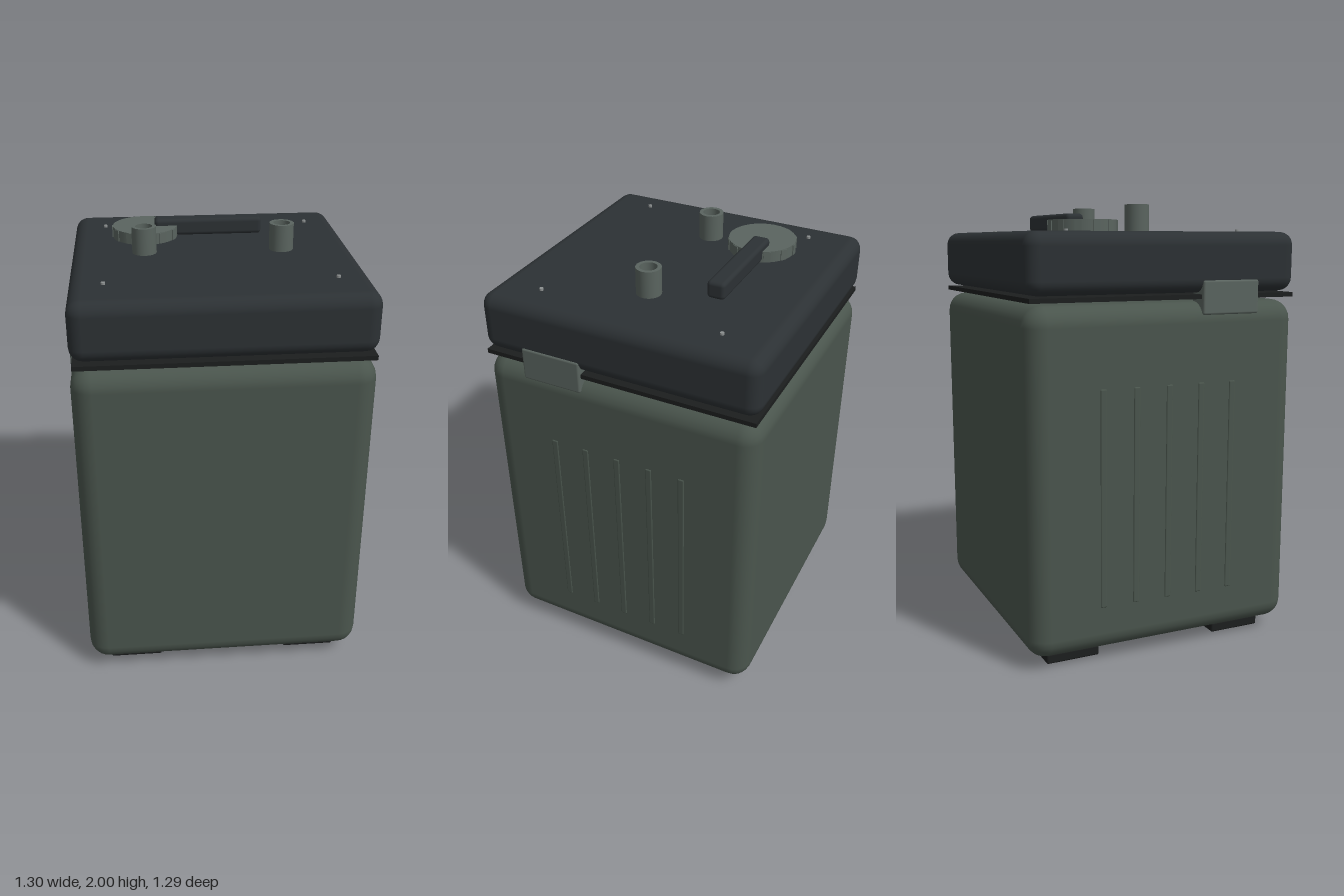
import * as THREE from 'three';
import { RoundedBoxGeometry } from 'three/addons/geometries/RoundedBoxGeometry.js';

const mat = (color, side = THREE.FrontSide) => {
  const m = new THREE.MeshStandardMaterial({ side });
  m.color.set(color);
  return m;
};

export function createModel() {
  const group = new THREE.Group();
  const green = mat(0x4a554d);
  const dark = mat(0x2c3134);
  const black = mat(0x1c1e1e);
  const metal = mat(0x5a645f);
  const steel = mat(0x8c9090);

  const add = (name, geometry, material, x, y, z, parent = group) => {
    const mesh = new THREE.Mesh(geometry, material);
    mesh.name = name;
    mesh.position.set(x, y, z);
    parent.add(mesh);
    return mesh;
  };
  const rounded = (w, h, d, r, seg = 3) => new RoundedBoxGeometry(w, h, d, seg, r);

  // Main case, seal plate and lid
  add('body', rounded(1.29, 1.525, 1.29, 0.09), green, 0, 0.8175, 0);
  add('seal', new THREE.BoxGeometry(1.26, 0.02, 1.26), black, 0, 1.602, 0);
  add('lid', rounded(1.28, 0.262, 1.28, 0.06), dark, 0, 1.749, 0);

  const ribGeo = rounded(0.03, 0.965, 0.03, 0.006, 2);
  const claspGeo = rounded(0.1, 0.15, 0.28, 0.01, 2);
  const footGeo = rounded(0.245, 0.045, 0.25, 0.008, 2);
  const screwGeo = new THREE.CylinderGeometry(0.009, 0.009, 0.012, 12);

  // Hollow socket wall, open through the middle
  const socketGeo = new THREE.LatheGeometry(
    [[0.038, 0], [0.055, 0], [0.055, 0], [0.055, 0.122], [0.055, 0.122],
      [0.038, 0.122], [0.038, 0.122], [0.038, 0]].map(([r, y]) => new THREE.Vector2(r, y)), 24);

  for (const s of [-1, 1]) {
    // Side ribs, clasp and top socket
    for (let i = -2; i <= 2; i++) add('sideRib', ribGeo, green, s * 0.634, 0.7475, i * 0.156);
    add('clasp', claspGeo, metal, s * 0.595, 1.598, 0.3);
    add('socket', socketGeo, metal, s * 0.31, 1.878, 0);
    add('socketFloor', new THREE.CylinderGeometry(0.039, 0.039, 0.06, 24), black, s * 0.31, 1.91, 0);

    // Feet and lid screws at the corners
    for (const t of [-1, 1]) {
      add('foot', footGeo, black, s * 0.425, 0.0225, t * 0.418);
      add('screw', screwGeo, steel, s * 0.49, 1.884, t * 0.415);
    }
  }

  // Dial with grip ridges around its rim
  const dial = new THREE.Group();
  dial.name = 'dial';
  dial.position.set(-0.3, 1.905, -0.26);
  group.add(dial);
  add('dialDisc', new THREE.CylinderGeometry(0.152, 0.152, 0.052, 32), metal, 0, 0, 0, dial);
  const ridgeGeo = new THREE.BoxGeometry(0.02, 0.048, 0.03);
  for (let i = 0; i < 12; i++) {
    const a = (i / 12) * Math.PI * 2;
    const ridge = add('dialRidge', ridgeGeo, metal, Math.cos(a) * 0.145, 0, Math.sin(a) * 0.145, dial);
    ridge.rotation.y = -a;
  }

  // Carry handle bar
  add('handle', rounded(0.505, 0.078, 0.082, 0.018, 2), dark, -0.002, 1.921, -0.275);

  return group;
}
